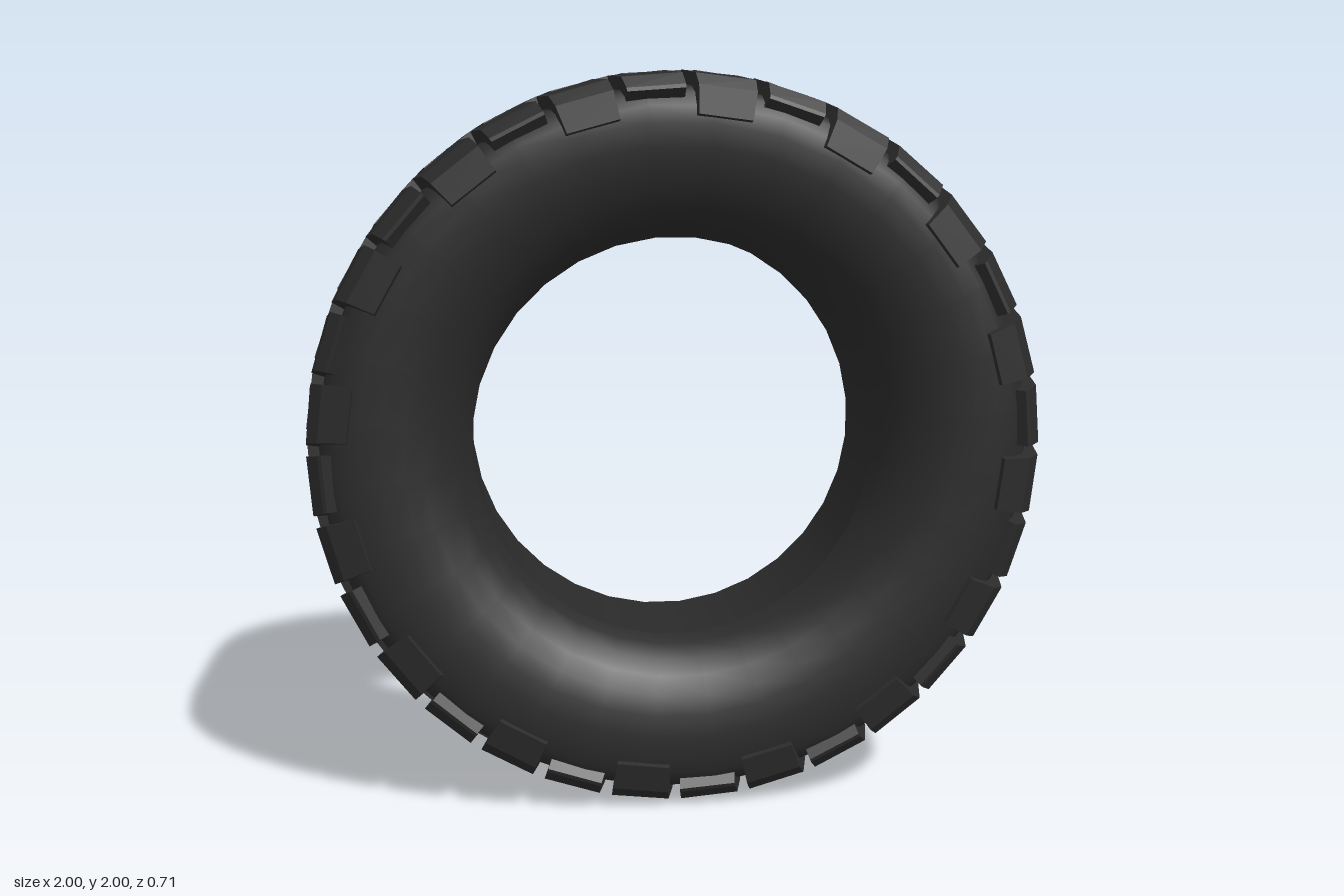
import * as THREE from 'three';

const COUNT = 32;                       // tread blocks per row
const PITCH = (Math.PI * 2) / COUNT;
const SLANT = 0.22;                     // chevron angle of the block ends

const rubber = new THREE.MeshStandardMaterial({ color: 0x2a2a2a });
rubber.name = 'black rubber';

// Ring turned around the z axis from [radius, z] points
function ring(name, points) {
  const geo = new THREE.LatheGeometry(
    points.map(([r, z]) => new THREE.Vector2(r, z)), COUNT, Math.PI / COUNT);
  geo.rotateX(Math.PI / 2);
  const mesh = new THREE.Mesh(geo, rubber);
  mesh.name = name;
  return mesh;
}

// One block: profile rows are [z, r, base z, base r, skew of z along the block]
function addBlock(out, profile, start, length, side) {
  const point = (row, end, base) => {
    const z = (base ? row[2] : row[0]) + row[4] * (end - 0.5) * side;
    const r = base ? row[3] : row[1];
    const flare = base ? (end - 0.5) * 0.016 : 0;
    const t = start + end * length - SLANT * z + flare;
    return [r * Math.cos(t), r * Math.sin(t), z * side];
  };
  const quad = (a, b, c, d) => {
    const corners = side > 0 ? [a, b, c, a, c, d] : [a, c, b, a, d, c];
    corners.forEach((p) => out.push(...p));
  };
  for (let j = 0; j < profile.length - 1; j++) {
    const p = profile[j], q = profile[j + 1];
    quad(point(p, 0), point(p, 1), point(q, 1), point(q, 0));                // tread face
    quad(point(p, 1), point(p, 1, true), point(q, 1, true), point(q, 1));    // leading end
    quad(point(q, 0), point(q, 0, true), point(p, 0, true), point(p, 0));    // trailing end
  }
  const a = profile[0], b = profile[profile.length - 1];
  quad(point(a, 0), point(a, 0, true), point(a, 1, true), point(a, 1));      // inner side
  quad(point(b, 1), point(b, 1, true), point(b, 0, true), point(b, 0));      // outer side
}

// Full row of blocks around the tyre
function blockRow(name, profileAt, offset, fill, side) {
  const out = [];
  for (let i = 0; i < COUNT; i++) {
    addBlock(out, profileAt(i, side), (i + offset) * PITCH, PITCH * fill, side);
  }
  const geo = new THREE.BufferGeometry();
  geo.setAttribute('position', new THREE.Float32BufferAttribute(out, 3));
  geo.computeVertexNormals();
  const mesh = new THREE.Mesh(geo, rubber);
  mesh.name = name;
  return mesh;
}

const innerProfile = () => [
  [0.021, 1.0, 0.019, 0.94, 0],
  [0.172, 0.998, 0.176, 0.94, 0.024],
];

// Every second shoulder block reaches further down the sidewall
const shoulderProfile = (i, side) => {
  const long = (i % 2 === 1) === side > 0;
  const low = long ? 0.88 : 0.945;
  return [
    [0.191, 0.997, 0.187, 0.93, 0.024],
    [0.314, 0.985, 0.25, 0.9, 0],
    [0.343, 0.955, 0.27, 0.88, 0],
    long ? [0.356, low, 0.3, 0.86, 0] : [0.346, low, 0.29, 0.87, 0],
  ];
};

export function createModel() {
  const model = new THREE.Group();
  model.name = 'tyre';
  const tyre = new THREE.Group();
  tyre.name = 'tyreBody';
  tyre.position.y = 1;
  model.add(tyre);

  // Carcass: rounded sidewalls and the floor of the tread grooves
  const half = [
    [0.557, 0.163], [0.572, 0.21], [0.6, 0.256], [0.64, 0.294], [0.69, 0.322],
    [0.74, 0.337], [0.8, 0.346], [0.86, 0.346], [0.905, 0.338], [0.938, 0.322],
    [0.957, 0.292], [0.963, 0.24], [0.964, 0.15],
  ];
  const mirrored = half.map(([r, z]) => [r, -z]);
  tyre.add(ring('carcass', [...mirrored, ...half.slice().reverse()]));
  tyre.add(ring('bore', [[0.557, 0.163], [0.557, -0.163]]));

  // Tread: the long shoulder blocks alternate out of step front to back
  for (const side of [1, -1]) {
    const label = side > 0 ? 'front' : 'back';
    const shift = side > 0 ? 0 : 0.45;
    tyre.add(blockRow(label + 'InnerTread', innerProfile, shift + 0.1, 0.84, side));
    tyre.add(blockRow(label + 'ShoulderTread', shoulderProfile, shift + 0.35, 0.82, side));
  }

  // Raised ribs on the back sidewall: [middle angle in degrees, count, spacing in degrees]
  const ribs = new THREE.Group();
  ribs.name = 'sidewallRibs';
  const ribGeo = new THREE.BoxGeometry(0.09, 0.028, 0.024);
  for (const [middle, count, step] of [[74, 3, 6.5], [102, 7, 4.3], [-77, 8, 4.6], [-115, 7, 4.2]]) {
    for (let i = 0; i < count; i++) {
      const t = THREE.MathUtils.degToRad(middle + (i - (count - 1) / 2) * step);
      const rib = new THREE.Mesh(ribGeo, rubber);
      rib.name = 'rib';
      rib.position.set(0.765 * Math.cos(t), 0.765 * Math.sin(t), -0.338);
      rib.rotation.z = t;
      ribs.add(rib);
    }
  }
  tyre.add(ribs);
  return model;
}
